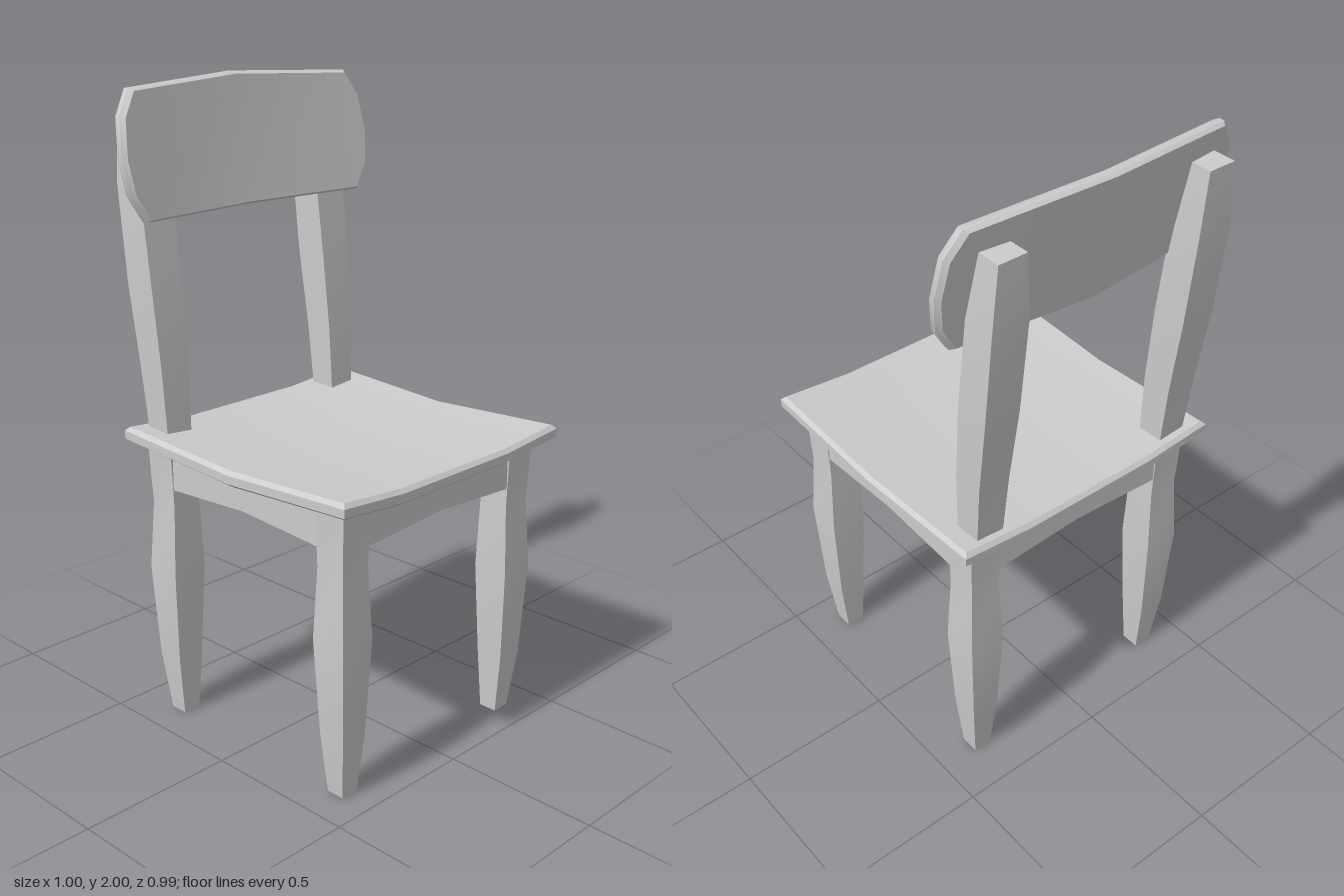
import * as THREE from 'three';
import { toCreasedNormals } from 'three/addons/utils/BufferGeometryUtils.js';

const material = new THREE.MeshStandardMaterial({ color: 0xcccccc });

function part(name, geometry, crease = 0.5) {
  const mesh = new THREE.Mesh(toCreasedNormals(geometry, crease), material);
  mesh.name = name;
  return mesh;
}

// Solid through a stack of rings, each counter-clockwise seen from the last ring's end
function loft(rings) {
  const n = rings[0].length;
  const last = rings.length - 1;
  const positions = [];
  const tri = (a, b, c) => positions.push(...a, ...b, ...c);
  for (let r = 0; r < last; r++) {
    const a = rings[r], b = rings[r + 1];
    for (let i = 0; i < n; i++) {
      const j = (i + 1) % n;
      tri(a[i], a[j], b[j]);
      tri(a[i], b[j], b[i]);
    }
  }
  for (let i = 0; i < n / 2; i++) {
    const p = n - i - 1, q = (n - i) % n;
    for (const [ring, flip] of [[rings[0], true], [rings[last], false]]) {
      const add = (u, v, w) => (flip ? tri(ring[u], ring[w], ring[v]) : tri(ring[u], ring[v], ring[w]));
      if (i + 1 !== p) add(i, i + 1, p);
      if (i !== q) add(i, p, q);
    }
  }
  const geometry = new THREE.BufferGeometry();
  geometry.setAttribute('position', new THREE.Float32BufferAttribute(positions, 3));
  return geometry;
}

// Horizontal rectangle ring
const rect = (y, x0, x1, z0, z1) => [[x1, y, z1], [x1, y, z0], [x0, y, z0], [x0, y, z1]];

// Dished seat with a chamfered rim
function seatGeometry() {
  const geometry = new THREE.BoxGeometry(2, 3, 2, 3, 3, 2);
  const p = geometry.attributes.position;
  const heights = [-0.052, -0.038, -0.012, 0];
  const insets = [0.02, 0, 0, 0.012];
  for (let i = 0; i < p.count; i++) {
    const u = p.getX(i), v = p.getZ(i);
    const layer = Math.round(p.getY(i) + 1.5);
    const rimX = Math.abs(u) > 0.9, rimZ = Math.abs(v) > 0.9;
    const x = rimX ? Math.sign(u) * (0.47 - insets[layer]) : u * 0.69;
    const z = v * (0.467 - insets[layer]);
    const y = 0.92 + (rimX ? 0.02 : 0) + (rimZ ? 0.025 : 0) + heights[layer];
    p.setXYZ(i, x - 0.005, y, z + 0.027);
  }
  return geometry;
}

// Curved backrest: the outline bends at the middle and leans back
function backrestGeometry() {
  const outline = [
    [-0.502, 1.785], [-0.488, 1.68], [-0.44, 1.602], [0, 1.6], [0.44, 1.602], [0.488, 1.68],
    [0.502, 1.785], [0.488, 1.905], [0.44, 1.98], [0, 2], [-0.44, 1.98], [-0.488, 1.905],
  ];
  const layers = [[0.045, 0.975], [0.032, 1], [0.014, 1], [0, 0.975]];
  return loft(layers.map(([depth, scale]) => outline.map(([px, py]) => {
    const x = px * scale;
    const y = 1.8 + (py - 1.8) * (scale === 1 ? 1 : 0.96);
    return [x, y, -0.365 - (y - 1.6) * 0.165 + Math.abs(x) * 0.1 - depth];
  })));
}

export function createModel() {
  const chair = new THREE.Group();
  chair.name = 'chair';

  // Legs and apron rails, repeated around the square base
  const base = new THREE.Group();
  base.name = 'base';
  base.position.set(-0.005, 0, 0.022);
  const legProfile = [
    [0, 0.325, 0.385], [0.2, 0.315, 0.407], [0.5, 0.303, 0.422],
    [0.72, 0.31, 0.41], [0.92, 0.31, 0.418],
  ];
  const leg = loft(legProfile.map(([y, a, b]) => rect(y, a, b, a, b)));
  const rail = loft([[-0.33, 0.78], [0, 0.8], [0.33, 0.78]].map(([x, y]) => [
    [x, y, 0.41], [x, 0.775, 0.325], [x, 0.905, 0.325], [x, 0.905, 0.41],
  ]));
  for (let i = 0; i < 4; i++) {
    const corner = new THREE.Group();
    corner.name = 'baseCorner';
    corner.rotation.y = i * Math.PI / 2;
    corner.add(part('leg', leg, 0.4), part('apronRail', rail, 0.4));
    base.add(corner);
  }
  chair.add(base);

  chair.add(part('seat', seatGeometry(), 0.4));

  // Back posts: height, inner and outer x, back and front z
  const postProfile = [
    [0.9, 0.31, 0.4, -0.4, -0.315], [1.15, 0.305, 0.41, -0.425, -0.325],
    [1.4, 0.3, 0.417, -0.46, -0.348], [1.7, 0.298, 0.418, -0.49, -0.385],
    [1.905, 0.31, 0.402, -0.495, -0.418],
  ];
  for (const side of [-1, 1]) {
    const rings = postProfile.map(([y, a, b, z0, z1]) =>
      rect(y, Math.min(side * a, side * b) - 0.005, Math.max(side * a, side * b) - 0.005, z0, z1));
    chair.add(part(side > 0 ? 'leftBackPost' : 'rightBackPost', loft(rings), 0.4));
  }

  chair.add(part('backrest', backrestGeometry(), 0.5));
  return chair;
}
